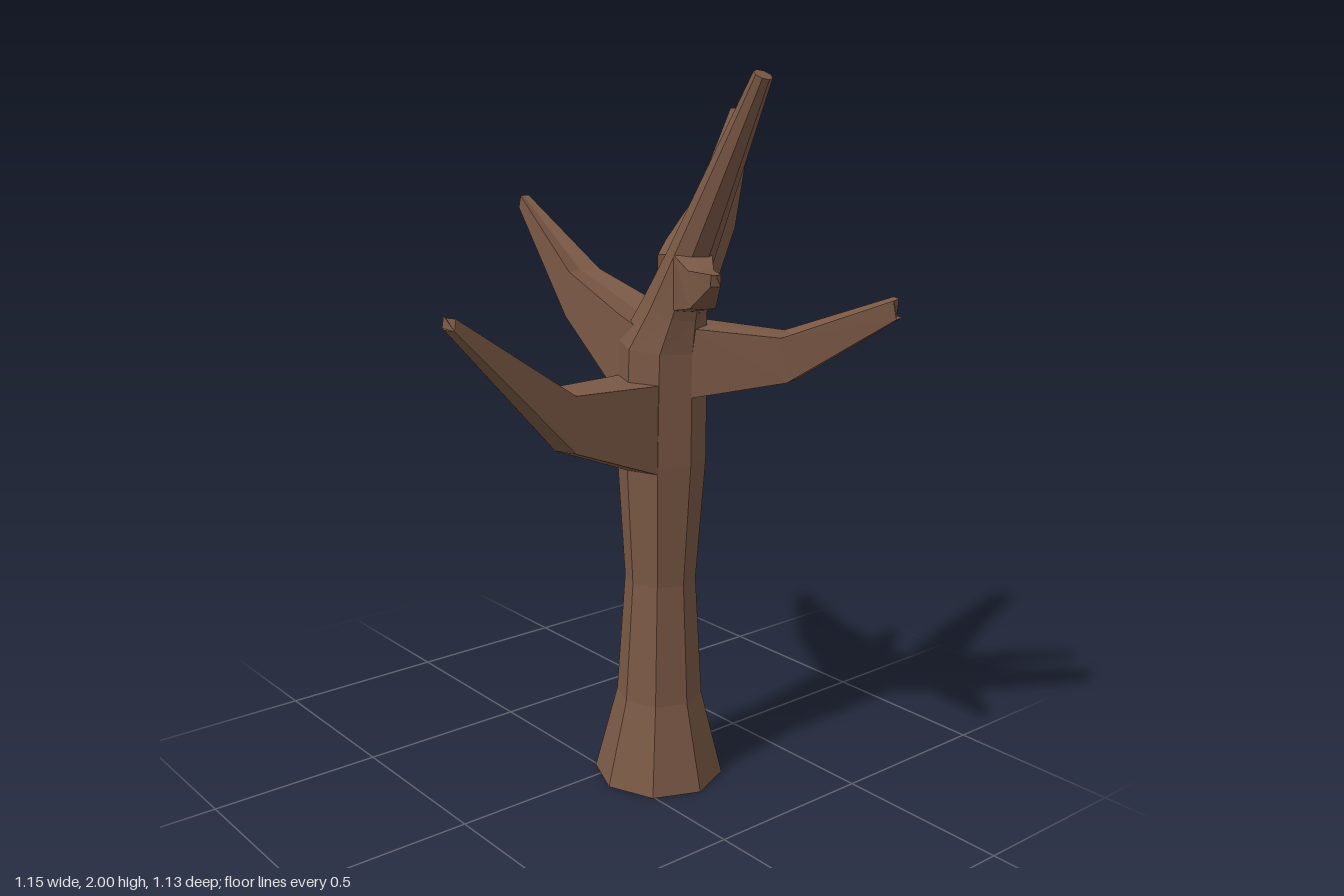
import * as THREE from 'three';

const V = (x, y, z) => new THREE.Vector3(x, y, z);

// Skin a list of equal-sized rings into a closed, faceted limb
function loft(rings) {
  const pos = [];
  const tri = (...pts) => pts.forEach((p) => pos.push(p.x, p.y, p.z));
  const n = rings[0].length;
  for (let k = 0; k < rings.length - 1; k++) {
    for (let i = 0; i < n; i++) {
      const j = (i + 1) % n;
      const a = rings[k], b = rings[k + 1];
      tri(a[i], a[j], b[j]);
      tri(a[i], b[j], b[i]);
    }
  }
  const first = rings[0], last = rings[rings.length - 1];
  for (let i = 1; i < n - 1; i++) {
    tri(first[0], first[i + 1], first[i]);
    tri(last[0], last[i], last[i + 1]);
  }
  const g = new THREE.BufferGeometry();
  g.setAttribute('position', new THREE.Float32BufferAttribute(pos, 3));
  g.computeVertexNormals();
  return g;
}

// Octagonal ring, leaning toward +x by tilt
function octagon([x, y, r, tilt]) {
  return Array.from({ length: 8 }, (_, i) => {
    const a = (i * Math.PI) / 4;
    const u = r * Math.cos(a);
    return V(x + u * Math.cos(tilt), y - u * Math.sin(tilt), -0.125 - r * Math.sin(a));
  });
}

// Six-sided branch: each section is [top reach, top y, bottom reach, bottom y, half width]
function branch([ox, oz], [hx, hz], sections) {
  const f = V(hx, 0, hz).normalize();
  const s = V(f.z, 0, -f.x);
  return loft(sections.map(([rt, yt, rb, yb, w]) => {
    const at = (r, y, side) => V(ox, y, oz)
      .addScaledVector(f, side ? r - 0.414 * w : r)
      .addScaledVector(s, side * w);
    return [at(rb, yb, 1), at(rt, yt, 1), at(rt, yt, 0), at(rt, yt, -1), at(rb, yb, -1), at(rb, yb, 0)];
  }));
}

export function createModel() {
  const model = new THREE.Group();
  model.name = 'bareTree';
  const bark = new THREE.MeshStandardMaterial({ color: 0x7a5845 });
  bark.name = 'brown bark';
  bark.flatShading = true;
  const add = (name, geometry) => {
    const mesh = new THREE.Mesh(geometry, bark);
    mesh.name = name;
    model.add(mesh);
  };

  // Trunk, flared at the foot and bending into the tall leader: x, y, radius, tilt
  add('trunk', loft([
    [0.08, 0, 0.185, 0], [0.08, 0.25, 0.122, 0], [0.08, 0.6, 0.1, 0],
    [0.08, 0.95, 0.123, 0], [0.083, 1.27, 0.12, 0.08], [0.13, 1.38, 0.088, 0.35],
    [0.19, 1.52, 0.062, 0.5], [0.443, 1.988, 0.025, 0.48],
  ].map(octagon)));

  // Branches growing from the trunk
  const core = [0.08, -0.125];
  add('rightBranch', branch(core, [-1, 0], [
    [0.03, 1.32, 0.03, 1.1, 0.085], [0.12, 1.35, 0.12, 1.12, 0.085],
    [0.37, 1.43, 0.39, 1.3, 0.055], [0.645, 1.62, 0.655, 1.585, 0.015],
  ]));
  add('frontBranch', branch(core, [0, 1], [
    [0.03, 1.18, 0.03, 0.96, 0.086], [0.125, 1.18, 0.125, 0.935, 0.086],
    [0.365, 1.185, 0.365, 1.03, 0.06], [0.69, 1.42, 0.695, 1.39, 0.028],
  ]));
  add('backLeftBranch', branch(core, [0.48, -0.405], [
    [0.03, 1.33, 0.03, 1.13, 0.08], [0.12, 1.33, 0.12, 1.14, 0.08],
    [0.35, 1.31, 0.37, 1.19, 0.06], [0.625, 1.415, 0.635, 1.365, 0.033],
  ]));
  add('backRightStub', branch(core, [-0.2, -0.275], [
    [0.03, 1.17, 0.03, 0.99, 0.06], [0.13, 1.18, 0.13, 1.0, 0.06],
    [0.22, 1.18, 0.23, 1.06, 0.046], [0.345, 1.28, 0.345, 1.24, 0.018],
  ]));

  // Branches growing from the leader
  add('upperBackBranch', branch([0.145, -0.14], [-0.22, -0.41], [
    [-0.01, 1.52, -0.01, 1.37, 0.06], [0.06, 1.55, 0.06, 1.39, 0.065],
    [0.25, 1.66, 0.3, 1.56, 0.047], [0.445, 1.88, 0.475, 1.815, 0.026],
  ]));
  add('upperFrontBranch', branch([0.19, -0.125], [0.345, 0.225], [
    [0, 1.53, -0.02, 1.38, 0.048], [0.06, 1.53, 0.035, 1.38, 0.05],
    [0.19, 1.51, 0.23, 1.42, 0.033], [0.415, 1.535, 0.41, 1.505, 0.012],
  ]));

  return model;
}
